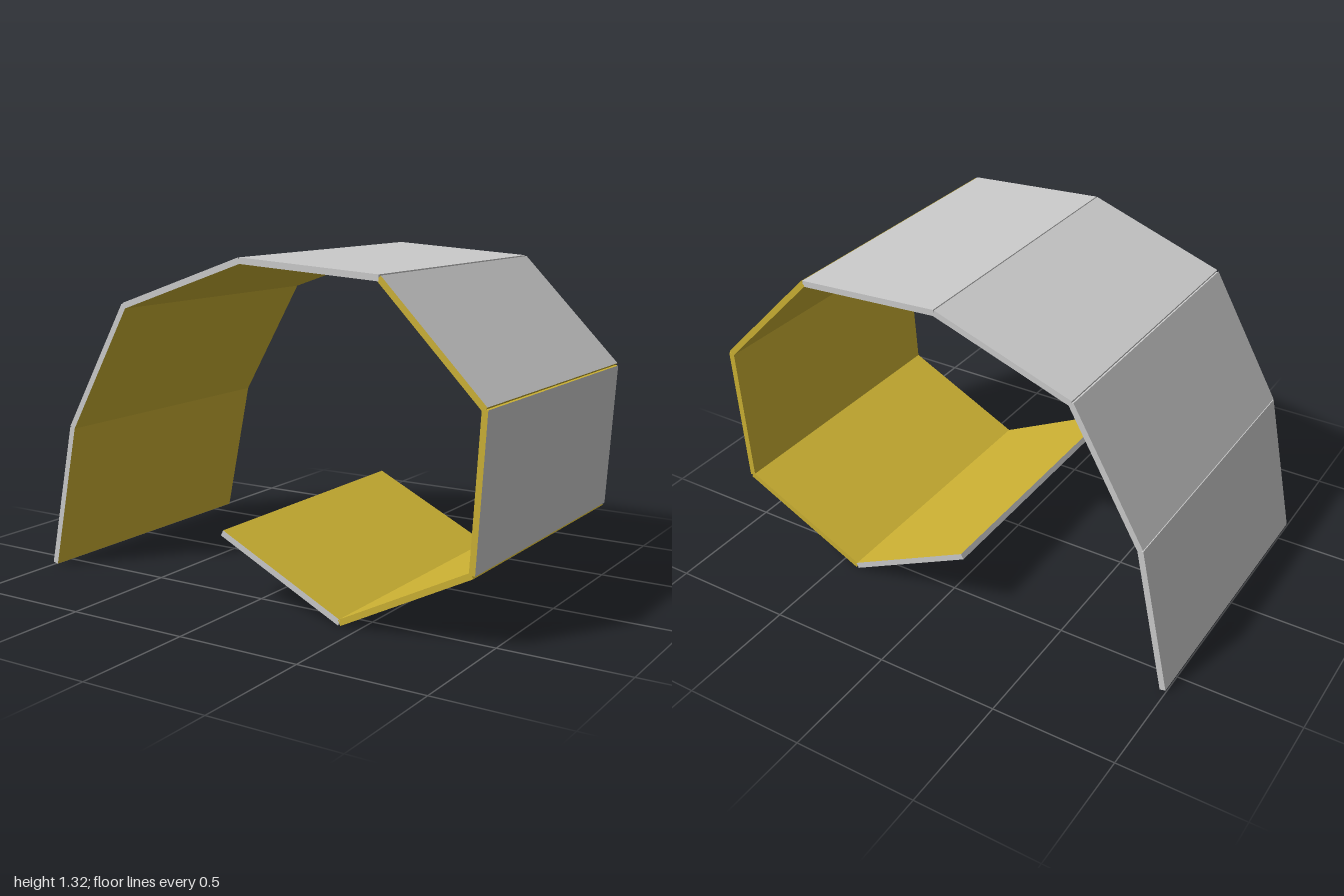
import * as THREE from 'three';

export function createModel() {
  const model = new THREE.Group();
  model.name = 'curledShelter';

  const grey = new THREE.MeshStandardMaterial({ color: 0xcccccc });
  const yellow = new THREE.MeshStandardMaterial({ color: 0xccb133 });

  const thickness = 0.024;
  const depth = 1.2;

  // Hinge points of the curl, from the foot, over the roof, to the inner tip
  const hinges = [
    [-0.988, 0.01], [-0.865, 0.603], [-0.574, 1.115], [-0.015, 1.311], [0.575, 1.274],
    [0.986, 0.857], [0.95, 0.28], [0.418, 0.012], [-0.11, 0.272],
  ];
  const names = [
    'footPanel', 'lowerWallPanel', 'slopedRoofPanel', 'topRoofPanel',
    'shoulderPanel', 'sideWallPanel', 'underPanel', 'innerTipPanel',
  ];
  const yellowEdged = ['shoulderPanel', 'sideWallPanel', 'underPanel'];

  // One flat slab between each pair of hinges: grey outside, yellow inside
  names.forEach((name, i) => {
    const [x0, y0] = hinges[i];
    const [x1, y1] = hinges[i + 1];
    const edge = yellowEdged.includes(name) ? yellow : grey;
    const panel = new THREE.Mesh(
      new THREE.BoxGeometry(Math.hypot(x1 - x0, y1 - y0), thickness, depth),
      [edge, edge, grey, yellow, edge, edge],
    );
    panel.name = name;
    panel.position.set((x0 + x1) / 2, (y0 + y1) / 2, 0);
    panel.rotation.z = Math.atan2(y1 - y0, x1 - x0);
    model.add(panel);
  });

  return model;
}
